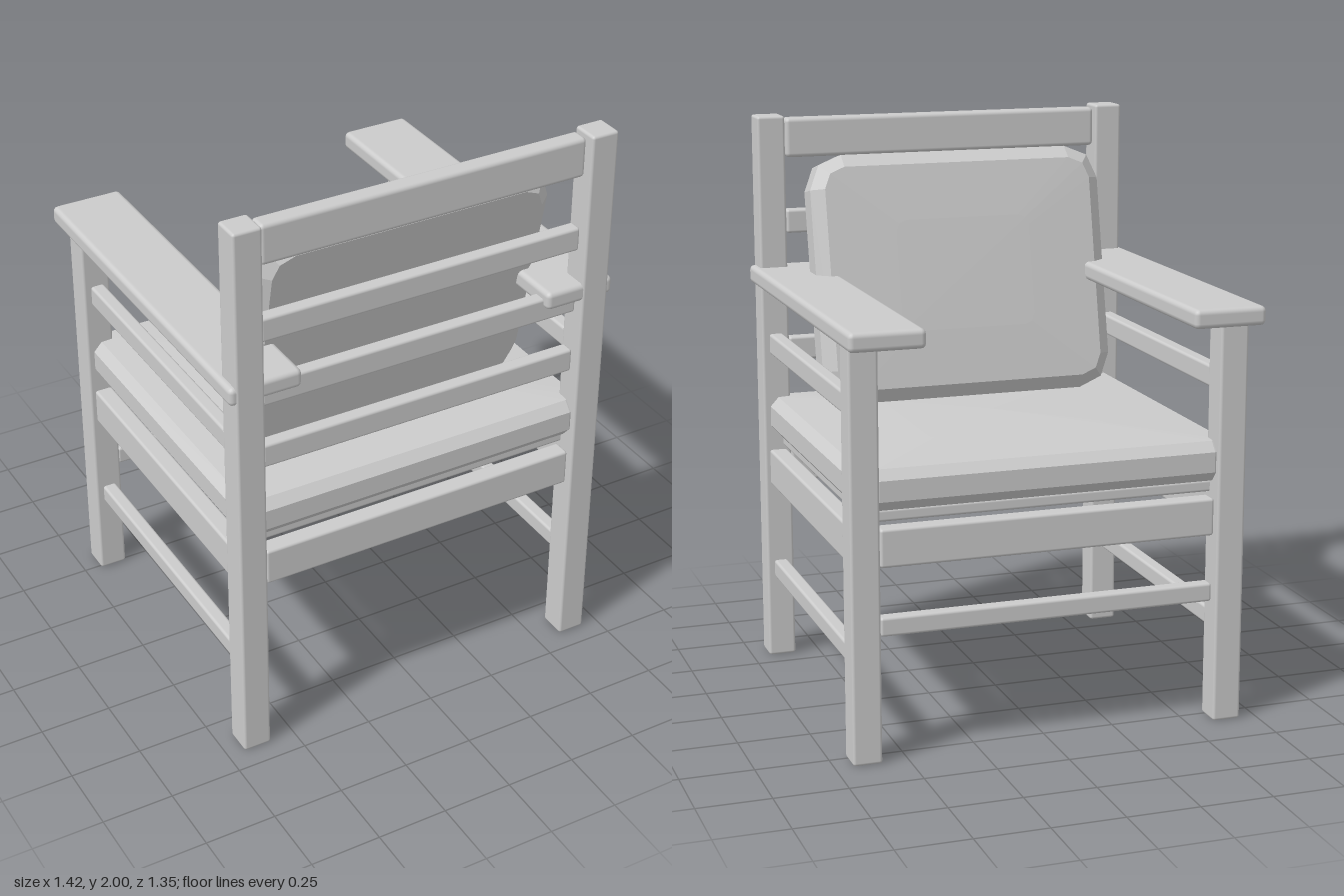
import * as THREE from 'three';
import { RoundedBoxGeometry } from 'three/addons/geometries/RoundedBoxGeometry.js';

const material = new THREE.MeshStandardMaterial({ color: 0xcccccc });
const cushionMaterial = new THREE.MeshStandardMaterial({ color: 0xcccccc, flatShading: true });

// Softly edged timber given by its [min, max] range on each axis
function timber(group, name, [x0, x1], [y0, y1], [z0, z1], bevel = 0.01) {
  const geometry = new RoundedBoxGeometry(x1 - x0, y1 - y0, z1 - z0, 2, bevel);
  const mesh = new THREE.Mesh(geometry, material);
  mesh.position.set((x0 + x1) / 2, (y0 + y1) / 2, (z0 + z1) / 2);
  mesh.name = name;
  group.add(mesh);
}

// Faceted cushion lying flat: rounded-rectangle rings stacked along y
// rings: [inset from the outline, scale toward the centre, y]
function cushion(name, halfW, halfD, radius, rings) {
  const positions = [], indices = [], n = 12;
  for (const [inset, scale, y] of rings) {
    for (let i = 0; i < n; i++) {
      const corner = Math.floor(i / 3);
      const a = (corner + (i % 3) / 2) * Math.PI / 2;
      const sx = corner === 0 || corner === 3 ? 1 : -1;
      const sz = corner < 2 ? 1 : -1;
      positions.push(
        scale * (sx * (halfW - radius) + Math.cos(a) * (radius - inset)), y,
        scale * (sz * (halfD - radius) + Math.sin(a) * (radius - inset)));
    }
  }
  for (let r = 0; r < rings.length - 1; r++) {
    for (let i = 0; i < n; i++) {
      const a = r * n + i, b = r * n + (i + 1) % n;
      if (rings[r][1] > 0) indices.push(a, a + n, b);
      if (rings[r + 1][1] > 0) indices.push(b, a + n, b + n);
      else if (rings[r][1] === 0) continue;
    }
  }
  const geometry = new THREE.BufferGeometry();
  geometry.setAttribute('position', new THREE.Float32BufferAttribute(positions, 3));
  geometry.setIndex(indices);
  geometry.computeVertexNormals();
  const mesh = new THREE.Mesh(geometry, cushionMaterial);
  mesh.name = name;
  return mesh;
}

export function createModel() {
  const chair = new THREE.Group();
  chair.name = 'armchair';
  const mid = (c, size) => [c - size / 2, c + size / 2];
  const across = [-0.585, 0.585];   // between left and right posts
  const along = [-0.485, 0.575];    // between front and rear posts
  const rearZ = 0.625, frontZ = -0.535;

  for (const side of [-1, 1]) {
    const x = side * 0.64;
    // Posts and armrest
    timber(chair, 'rearPost', mid(x, 0.1), [0, 2], mid(rearZ, 0.1));
    timber(chair, 'frontPost', mid(x, 0.1), [0, 1.41], mid(frontZ, 0.1));
    timber(chair, 'armrest', mid(side * 0.583, 0.255), [1.395, 1.46], [-0.675, 0.672], 0.018);
    // Side rails
    timber(chair, 'sideArmRail', mid(x, 0.05), [1.145, 1.22], along);
    timber(chair, 'sideApron', mid(x, 0.065), [0.66, 0.79], along);
    timber(chair, 'sideStretcher', mid(x, 0.05), [0.305, 0.37], along);
  }

  // Backrest rails
  timber(chair, 'topRail', across, [1.85, 1.99], mid(0.618, 0.066), 0.015);
  for (const y of [1.155, 1.387, 1.62])
    timber(chair, 'backSlat', across, mid(y, 0.085), mid(0.62, 0.05));

  // Aprons and front stretcher
  for (const z of [rearZ, frontZ])
    timber(chair, 'apron', across, [0.66, 0.79], mid(z, 0.065));
  timber(chair, 'frontStretcher', across, [0.425, 0.49], mid(frontZ, 0.05));

  // Seat board and cushion
  timber(chair, 'seatBoard', [-0.62, 0.62], [0.8, 0.842], [-0.515, 0.605]);
  const seat = cushion('seatCushion', 0.665, 0.61, 0.08, [
    [0.03, 0, 0.845], [0.03, 1, 0.845], [0, 1, 0.88], [0, 1, 0.95],
    [0.03, 1, 0.983], [0.03, 0.5, 1.0], [0.03, 0, 1.01]]);
  seat.position.z = 0.045;
  chair.add(seat);

  // Leaning back cushion
  const back = cushion('backCushion', 0.54, 0.44, 0.12, [
    [0.045, 0, -0.08], [0.045, 1, -0.08], [0, 1, -0.042], [0, 1, 0.042],
    [0.045, 1, 0.08], [0.045, 0.5, 0.088], [0.045, 0, 0.09]]);
  back.position.set(0, 1.43, 0.405);
  back.rotation.x = 0.21 - Math.PI / 2;
  chair.add(back);

  return chair;
}
